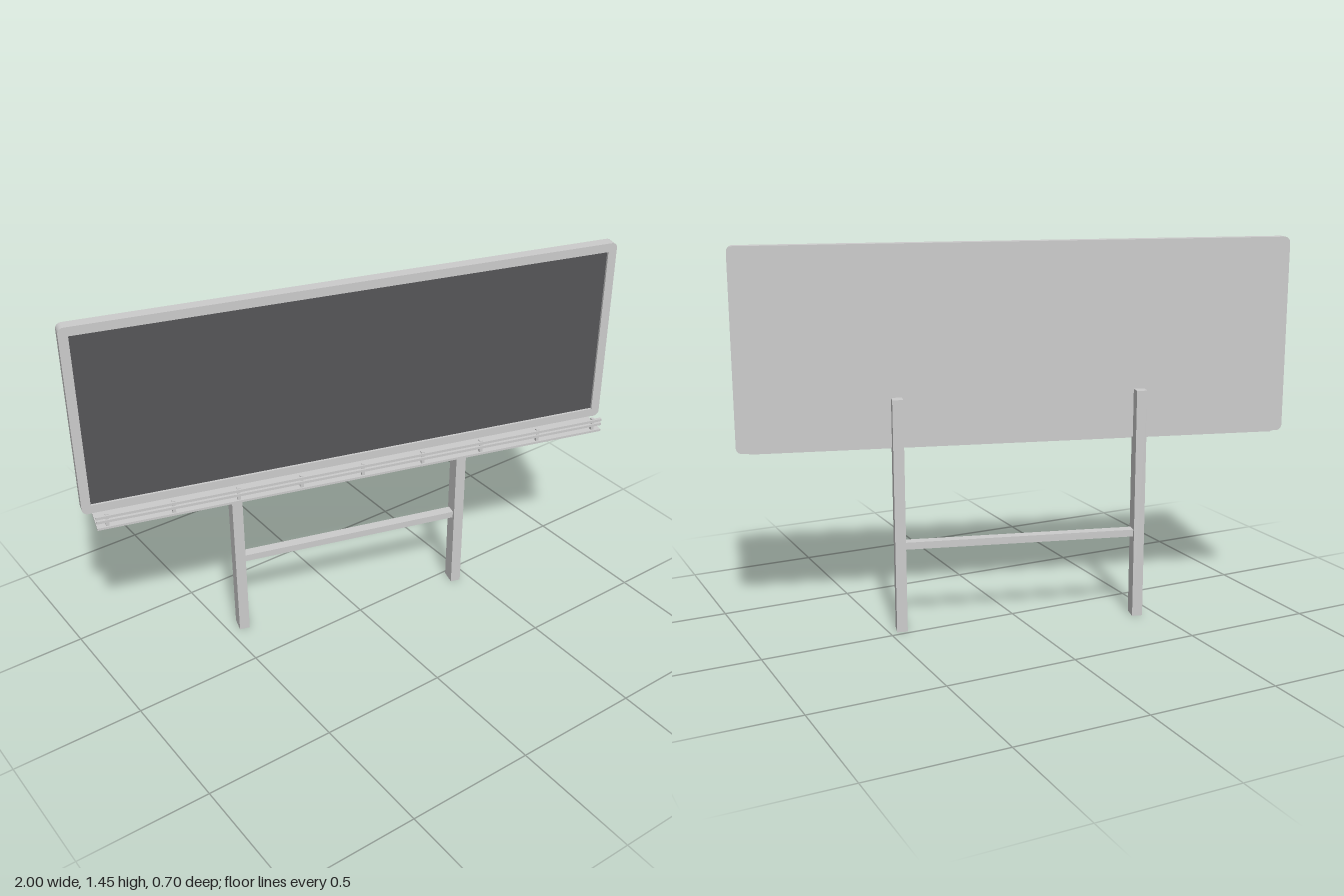
import * as THREE from 'three';

export function createModel() {
  const model = new THREE.Group();
  model.name = 'chalkboard';
  // the whole board stands turned by 16 degrees
  model.rotation.y = -16 * Math.PI / 180;

  const grey = new THREE.MeshStandardMaterial({ color: 0xcccccc });
  const slate = new THREE.MeshStandardMaterial({ color: 0x555558 });

  const add = (name, geometry, material = grey) => {
    const mesh = new THREE.Mesh(geometry, material);
    mesh.name = name;
    model.add(mesh);
    return mesh;
  };
  // box given by its limits on each axis
  const box = (name, [x0, x1], [y0, y1], [z0, z1], material) =>
    add(name, new THREE.BoxGeometry(x1 - x0, y1 - y0, z1 - z0), material)
      .position.set((x0 + x1) / 2, (y0 + y1) / 2, (z0 + z1) / 2);

  const X0 = -1.045, X1 = 1.02, Y0 = 0.705, Y1 = 1.447, border = 0.034;

  // board outline with rounded corners
  const outline = () => {
    const s = new THREE.Shape(), r = 0.022;
    s.absarc(X1 - r, Y0 + r, r, -Math.PI / 2, 0);
    s.absarc(X1 - r, Y1 - r, r, 0, Math.PI / 2);
    s.absarc(X0 + r, Y1 - r, r, Math.PI / 2, Math.PI);
    s.absarc(X0 + r, Y0 + r, r, Math.PI, Math.PI * 1.5);
    s.closePath();
    return s;
  };
  const extrude = (shape, depth) =>
    new THREE.ExtrudeGeometry(shape, { depth, bevelEnabled: false, curveSegments: 5 });

  // backing slab and raised frame around the writing surface
  add('backing', extrude(outline(), 0.032)).position.z = -0.064;
  const ring = outline();
  const hole = new THREE.Path();
  hole.moveTo(X0 + border, Y0 + border);
  hole.lineTo(X0 + border, Y1 - border);
  hole.lineTo(X1 - border, Y1 - border);
  hole.lineTo(X1 - border, Y0 + border);
  hole.closePath();
  ring.holes.push(hole);
  add('frame', extrude(ring, 0.012)).position.z = -0.032;
  box('writingSurface', [X0 + border, X1 - border], [Y0 + border, Y1 - border], [-0.04, -0.029], slate);

  // chalk tray with two rails on small posts
  const trayX = [-1.01, 0.975];
  box('tray', trayX, [0.697, 0.706], [-0.046, 0.082]);
  for (const y of [0.724, 0.742]) box('trayRail', trayX, [y, y + 0.01], [0.07, 0.082]);
  for (let i = 0; i < 9; i++) {
    const x = 0.941 - i * 0.239;
    box('trayPost', [x - 0.006, x + 0.006], [0.705, 0.755], [0.064, 0.076]);
  }

  // legs and the bar between them
  for (const x of [-0.472, 0.44]) box('leg', [x - 0.02, x + 0.02], [0, 0.89], [-0.109, -0.048]);
  box('crossbar', [-0.455, 0.423], [0.32, 0.347], [-0.099, -0.06]);

  const root = new THREE.Group();
  root.add(model);
  return root;
}
